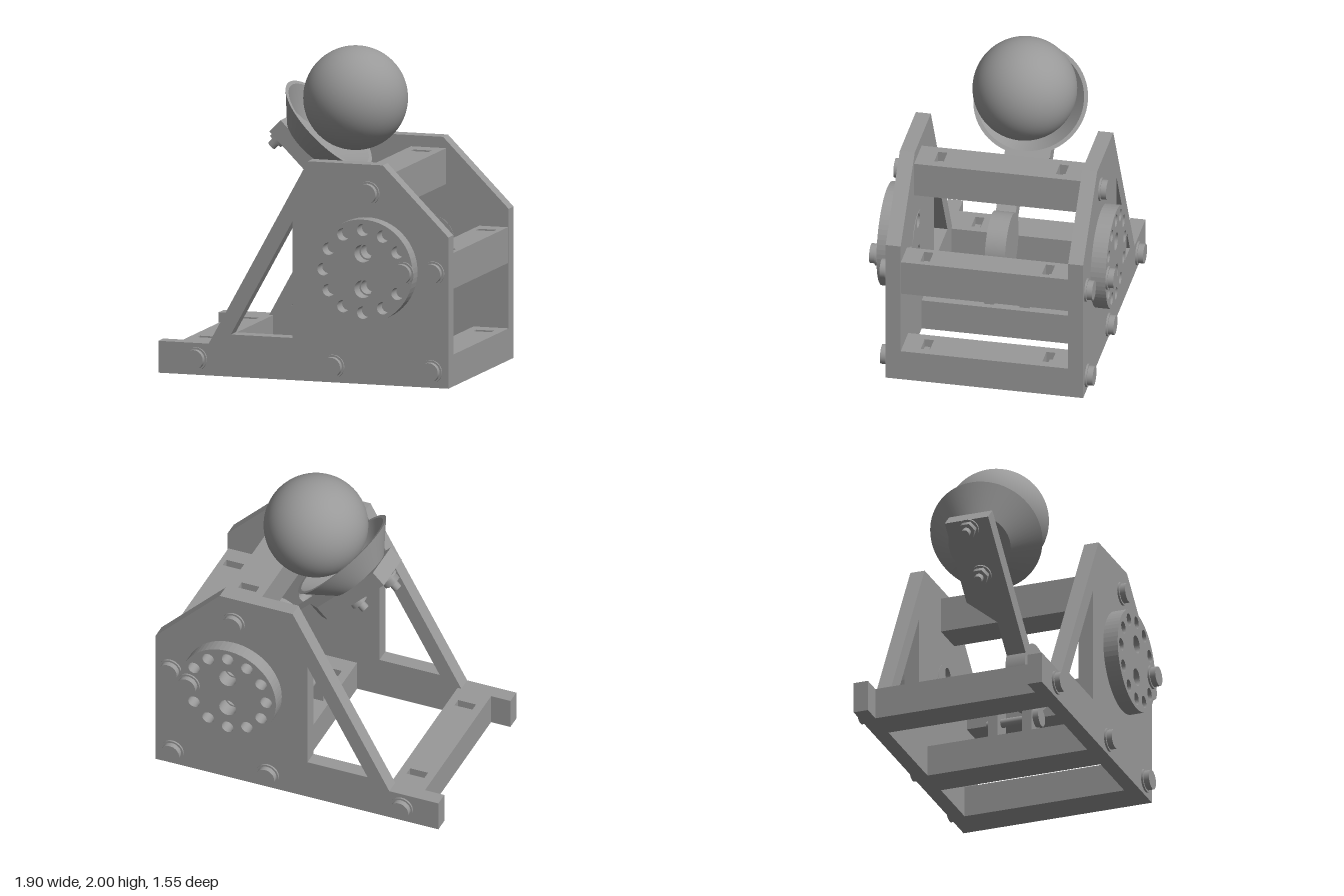
import * as THREE from 'three';

const gray = new THREE.MeshStandardMaterial({ color: 0x999999 });
gray.name = 'gray';

const PIVOT = [0.425, 0.725];

export function createModel() {
  const root = new THREE.Group();
  root.name = 'catapult';

  const add = (parent, name, geometry, x = 0, y = 0, z = 0) => {
    const mesh = new THREE.Mesh(geometry, gray);
    mesh.name = name;
    mesh.position.set(x, y, z);
    parent.add(mesh);
    return mesh;
  };
  const box = (w, h, d) => new THREE.BoxGeometry(w, h, d);
  // cylinders lying along z or along x
  const rodZ = (r, l, n = 32) => new THREE.CylinderGeometry(r, r, l, n).rotateX(Math.PI / 2);
  const rodX = (r, l, n = 32) => new THREE.CylinderGeometry(r, r, l, n).rotateZ(Math.PI / 2);
  const polygon = pts => new THREE.Shape(pts.map(p => new THREE.Vector2(...p)));
  const disc = r => new THREE.Shape().absarc(0, 0, r, 0, Math.PI * 2);
  const hole = (x, y, r) => new THREE.Path().absarc(x, y, r, 0, Math.PI * 2, true);
  // extrusion centred on its depth
  const slab = (shape, depth) =>
    new THREE.ExtrudeGeometry(shape, { depth, bevelEnabled: false, curveSegments: 32 })
      .translate(0, 0, -depth / 2);

  // side plate outline with triangular window and hub opening
  const plate = polygon([[-0.95, 0], [0.95, 0], [0.95, 0.95], [0.52, 1.38],
    [0.03, 1.38], [-0.62, 0.2], [-0.95, 0.2]]);
  plate.holes.push(polygon([[-0.07, 0.265], [-0.475, 0.265], [-0.07, 1.0]]));
  plate.holes.push(hole(...PIVOT, 0.165));

  // index wheel: twelve rim holes and two centre holes
  const wheel = disc(0.325);
  for (let i = 0; i < 12; i++) {
    const a = i * Math.PI / 6;
    wheel.holes.push(hole(0.26 * Math.cos(a), 0.26 * Math.sin(a), 0.039));
  }
  const hub = disc(0.17);
  for (const y of [0.112, -0.112]) {
    wheel.holes.push(hole(0, y, 0.056));
    hub.holes.push(hole(0, y, 0.046));
  }

  const frameBolts = [[-0.705, 0.1], [0.195, 0.1], [0.835, 0.1], [0.425, 1.2], [0.85, 0.72]];

  for (const s of [1, -1]) {
    const side = new THREE.Group();
    side.name = s > 0 ? 'frontSide' : 'backSide';
    root.add(side);
    add(side, 'sidePlate', slab(plate, 0.095), 0, 0, s * 0.5775);
    add(side, 'wheel', slab(wheel, 0.095), ...PIVOT, s * 0.6775);
    add(side, 'hub', slab(hub, 0.104), ...PIVOT, s * 0.579);

    const bolt = (x, y, z) => {
      add(side, 'boltWasher', rodZ(0.074, 0.012), x, y, s * (z + 0.006));
      add(side, 'boltHead', rodZ(0.062, 0.048), x, y, s * (z + 0.024));
    };
    for (const [x, y] of frameBolts) bolt(x, y, 0.625);

    // locking bolt through the wheel, with its nut inside the plate
    bolt(0.685, 0.725, 0.725);
    add(side, 'lockShaft', rodZ(0.028, 0.34), 0.685, 0.725, s * 0.58);
    add(side, 'lockWasher', rodZ(0.066, 0.014), 0.685, 0.725, s * 0.523);
    add(side, 'lockNut', rodZ(0.06, 0.06, 6), 0.685, 0.725, s * 0.486);
  }

  // cross beams: solid lower half, slotted upper half with captive nuts
  const beams = [
    [-0.82, -0.595, 0, 0.2], [0.08, 0.31, 0, 0.2], [0.72, 0.95, 0, 0.2],
    [0.757, 0.945, 0.61, 0.835], [0.31, 0.54, 1.085, 1.31],
  ];
  beams.forEach(([x0, x1, y0, y1], i) => {
    const w = x1 - x0, h = y1 - y0, cx = (x0 + x1) / 2, cy = (y0 + y1) / 2;
    const low = h * 0.3, beam = new THREE.Group();
    beam.name = 'crossBeam' + (i + 1);
    root.add(beam);
    add(beam, 'beamBase', box(w, low, 1.06), cx, y0 + low / 2, 0);
    const top = polygon([[-w / 2, -0.53], [w / 2, -0.53], [w / 2, 0.53], [-w / 2, 0.53]]);
    for (const s of [1, -1]) {
      const z = s * 0.385;
      top.holes.push(polygon([[-0.06, z - 0.029], [-0.06, z + 0.029], [0.06, z + 0.029], [0.06, z - 0.029]]));
      add(beam, 'beamBoltShaft', rodZ(0.03, 0.06, 20), cx, cy, z);
      add(beam, 'beamNut', box(0.115, 0.1, 0.035), cx, cy, z + s * 0.01);
    }
    add(beam, 'beamTop', slab(top, h - low).rotateX(-Math.PI / 2), cx, (y0 + low + y1) / 2, 0);
  });

  // anchor bracket on the middle lower beam
  for (const s of [1, -1]) add(root, 'anchorLug', box(0.15, 0.23, 0.064), 0.195, 0.315, s * 0.113);
  add(root, 'anchorPin', rodZ(0.028, 0.34), 0.195, 0.33, 0);
  add(root, 'anchorPinHead', rodZ(0.06, 0.038), 0.195, 0.33, 0.164);
  add(root, 'anchorNut', rodZ(0.03, 0.03, 6), 0.195, 0.33, -0.16);

  // throwing arm: local y runs along the arm, local x is the cup axis
  const arm = new THREE.Group();
  arm.name = 'throwingArm';
  arm.position.set(...PIVOT, 0);
  arm.rotation.z = Math.PI / 4;
  root.add(arm);
  add(arm, 'armHub', rodZ(0.21, 0.128, 48));
  const bar = polygon([[-0.063, 0], [0.063, 0], [0.063, 1.112], [-0.225, 1.112],
    [-0.225, 0.58], [-0.063, 0.42]]);
  add(arm, 'armBar', slab(bar, 0.105).rotateY(-Math.PI / 2), -0.025, 0, 0);

  // flared cup, walls and floor
  const cupZ = -0.08, cupY = 0.9;
  const profile = [[0, 0], [0.2, 0], [0.2, 0], [0.36, 0.165], [0.36, 0.165],
    [0.335, 0.165], [0.335, 0.165], [0.19, 0.02], [0.19, 0.02], [0, 0.02]]
    .map(p => new THREE.Vector2(...p));
  // each straight run is its own lathe so the edges stay sharp
  for (let i = 0; i < profile.length - 1; i++) {
    if (profile[i].equals(profile[i + 1])) continue;
    const part = new THREE.LatheGeometry([profile[i], profile[i + 1]], 64).rotateZ(-Math.PI / 2);
    add(arm, 'cup', part, 0.028, cupY, cupZ);
  }

  // bolts holding the cup to the arm
  for (const s of [1, -1]) {
    const y = cupY + s * 0.155;
    add(arm, 'cupBoltShaft', rodX(0.028, 0.25, 20), -0.055, y, cupZ);
    add(arm, 'cupBoltHead', rodX(0.045, 0.03), 0.06, y, cupZ);
    add(arm, 'cupWasher', rodX(0.064, 0.014), -0.085, y, cupZ);
    add(arm, 'cupNut', rodX(0.055, 0.045, 6), -0.112, y, cupZ);
  }

  add(arm, 'ball', new THREE.SphereGeometry(0.325, 64, 40), 0.442, cupY, cupZ);
  return root;
}
